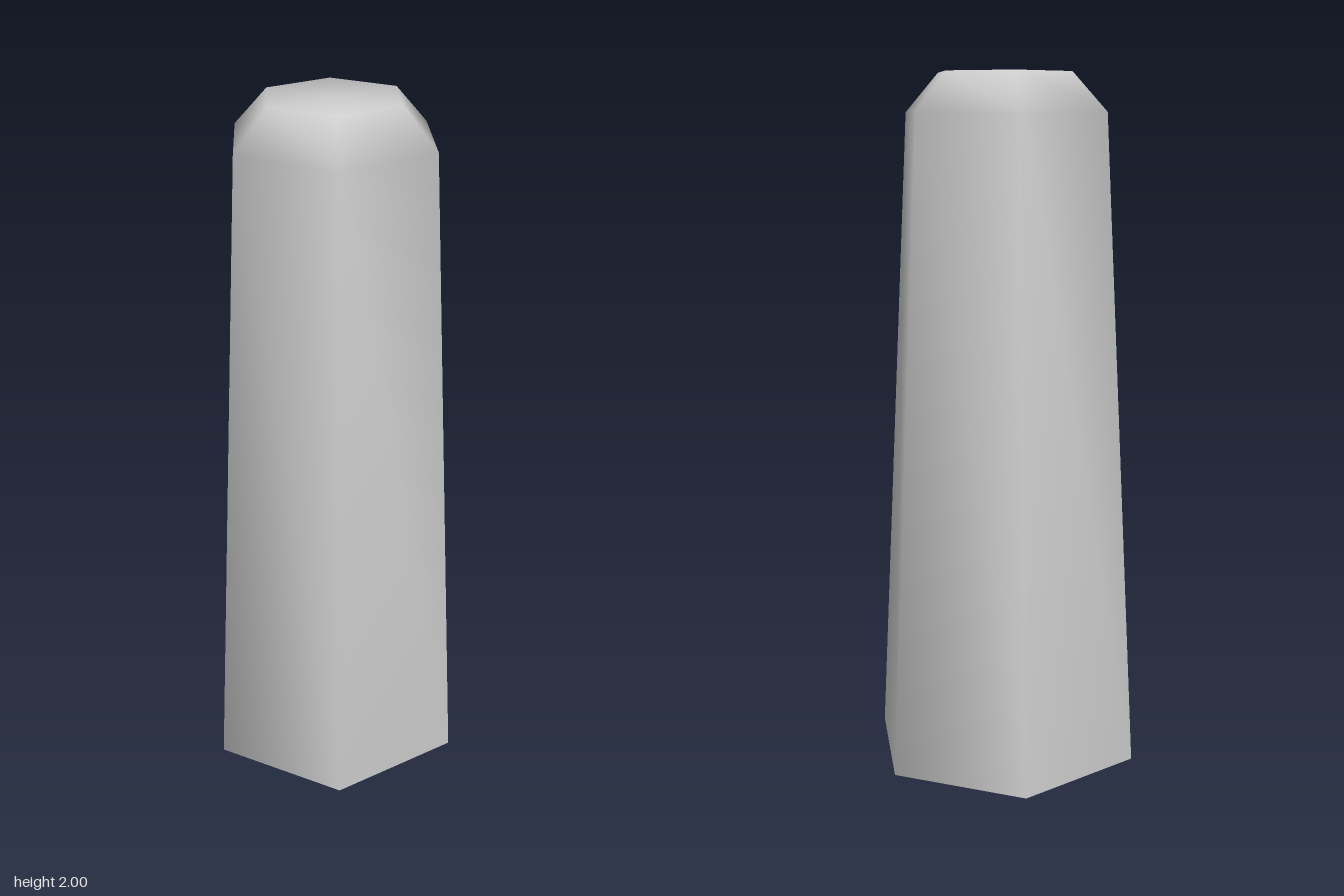
import * as THREE from 'three';
import { mergeGeometries, mergeVertices } from 'three/addons/utils/BufferGeometryUtils.js';

const SIDES = 6;
const HEIGHT = 2;
const TOP_RADIUS = 0.202;

export function createModel() {
  const group = new THREE.Group();
  group.name = 'taperedHexPost';

  // Tapered wall with a bevelled shoulder, open at the bottom; corners on the x axis
  const profile = [[0.408, 0], [0.305, 1.89], [TOP_RADIUS, HEIGHT]]
    .map(([r, y]) => new THREE.Vector2(r, y));
  const wall = new THREE.LatheGeometry(profile, SIDES, Math.PI / 2);

  // Flat hexagonal top
  const cap = new THREE.CircleGeometry(TOP_RADIUS, SIDES);
  cap.rotateX(-Math.PI / 2).translate(0, HEIGHT, 0);

  // Weld into one skin so the shading runs smoothly over every edge
  const parts = [wall, cap];
  parts.forEach((g) => { g.deleteAttribute('normal'); g.deleteAttribute('uv'); });
  const skin = mergeVertices(mergeGeometries(parts), 1e-3);
  skin.computeVertexNormals();

  const material = new THREE.MeshStandardMaterial({ color: 0xcccccc, side: THREE.DoubleSide });
  const post = new THREE.Mesh(skin, material);
  post.name = 'post';
  group.add(post);
  return group;
}
